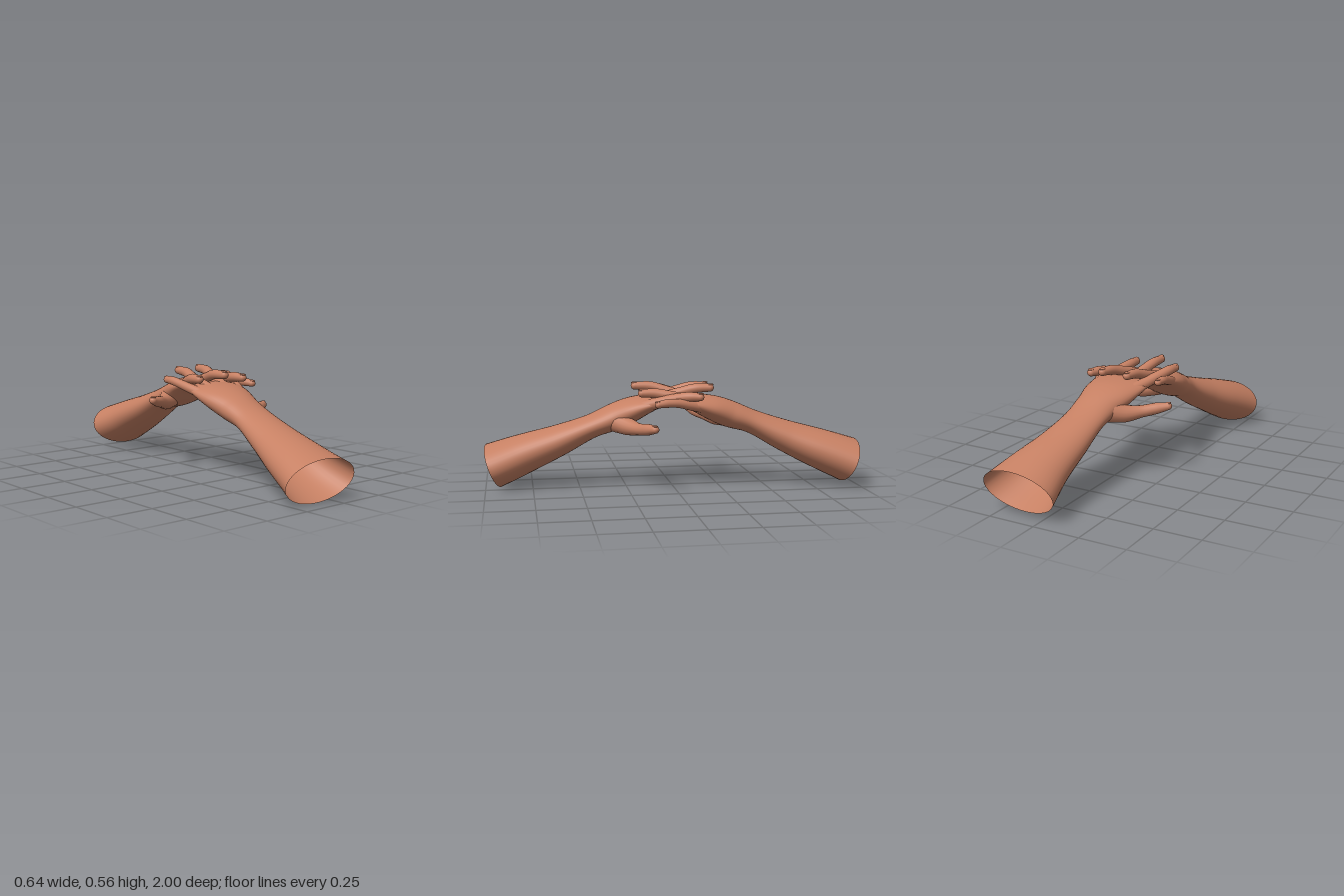
import * as THREE from 'three';

const skin = new THREE.MeshStandardMaterial({ color: 0xc68063, side: THREE.DoubleSide });
skin.name = 'skin';

// Frame across a path: sideways, upward and forward directions
function frameAt(curve, t) {
  const forward = curve.getTangent(t);
  const side = new THREE.Vector3().crossVectors(forward, new THREE.Vector3(0, 1, 0)).normalize();
  const up = new THREE.Vector3().crossVectors(side, forward);
  return { pos: curve.getPoint(t), side, up, forward };
}

// Smooth skin through sections [x, y, z, halfWidth, halfThickness]; open start, rounded end
function loft(name, sections, steps, sides) {
  const curve = new THREE.CatmullRomCurve3(sections.map(s => new THREE.Vector3(s[0], s[1], s[2])));
  const sizes = new THREE.CatmullRomCurve3(sections.map(s => new THREE.Vector3(s[3], s[4], 0)));
  const positions = [], indices = [];
  let rings = 0;
  const addRing = (f, w, h) => {
    for (let j = 0; j < sides; j++) {
      const a = (j / sides) * Math.PI * 2;
      const p = f.pos.clone().addScaledVector(f.side, Math.cos(a) * w).addScaledVector(f.up, Math.sin(a) * h);
      positions.push(p.x, p.y, p.z);
    }
    rings++;
  };
  for (let i = 0; i <= steps; i++) {
    const size = sizes.getPoint(i / steps);
    addRing(frameAt(curve, i / steps), size.x, size.y);
  }
  // rounded cap
  const end = frameAt(curve, 1), [, , , w, h] = sections[sections.length - 1];
  for (let k = 1; k <= 6; k++) {
    const a = (k / 6) * Math.PI / 2, c = Math.max(Math.cos(a), 0.01);
    const pos = end.pos.clone().addScaledVector(end.forward, Math.sin(a) * h);
    addRing({ ...end, pos }, w * c, h * c);
  }
  for (let i = 0; i < rings - 1; i++) {
    for (let j = 0; j < sides; j++) {
      const a = i * sides + j, b = i * sides + (j + 1) % sides;
      indices.push(a, a + sides, b, b, a + sides, b + sides);
    }
  }
  const geometry = new THREE.BufferGeometry();
  geometry.setAttribute('position', new THREE.Float32BufferAttribute(positions, 3));
  geometry.setIndex(indices);
  geometry.computeVertexNormals();
  const mesh = new THREE.Mesh(geometry, skin);
  mesh.name = name;
  return { mesh, end, radius: h };
}

// Finger with a nail lying on its tip
function finger(name, sections) {
  const group = new THREE.Group();
  group.name = name;
  const { mesh, end, radius } = loft(name + 'Skin', sections, 24, 16);
  const nail = new THREE.Mesh(new THREE.SphereGeometry(1, 14, 10), skin);
  nail.name = name + 'Nail';
  nail.quaternion.setFromRotationMatrix(
    new THREE.Matrix4().makeBasis(end.side, end.up, end.forward.clone().negate()));
  nail.scale.set(radius * 0.68, radius * 0.3, radius * 0.95);
  nail.position.copy(end.pos).addScaledVector(end.up, radius * 0.8);
  group.add(mesh, nail);
  return group;
}

// Attach tapering radii to a list of path points
const taper = (points, radii) => points.map((p, i) => [...p, radii[i], radii[i] * 0.95]);

function arm(name, sections, fingers, thumb) {
  const group = new THREE.Group();
  group.name = name;
  group.add(loft('forearmAndPalm', sections, 56, 40).mesh);
  for (const [part, points] of Object.entries(fingers)) {
    const thin = part === 'littleFinger' ? 0.87 : 1;
    group.add(finger(part, taper(points, [0.034, 0.031, 0.028, 0.027, 0.022].map(r => r * thin))));
  }
  group.add(finger('thumb', taper(thumb, [0.06, 0.048, 0.033, 0.031, 0.021])));
  return group;
}

export function createModel() {
  const model = new THREE.Group();
  model.name = 'claspedHands';

  // forearm, wrist and palm from the open end to the knuckles
  const front = [
    [-0.115, 0.118, 0.955, 0.205, 0.122],
    [-0.098, 0.178, 0.8, 0.168, 0.108],
    [-0.066, 0.252, 0.61, 0.134, 0.085],
    [-0.04, 0.335, 0.42, 0.114, 0.064],
    [-0.036, 0.378, 0.31, 0.122, 0.072],
    [-0.03, 0.42, 0.21, 0.148, 0.066],
    [-0.022, 0.452, 0.12, 0.16, 0.047],
    [-0.018, 0.466, 0.065, 0.158, 0.034]
  ];
  // opposite arm: half turn, slightly higher, hand moved a little sideways
  const back = front.map(([x, y, z, w, h]) =>
    [-x + 0.03 * Math.min(1, (0.955 - z) / 0.55), y + 0.02 * Math.min(1, z / 0.4), -z, w, h]);

  model.add(arm('frontArm', front, {
    littleFinger: [[-0.13, 0.44, 0.16], [-0.158, 0.468, 0.07], [-0.172, 0.488, 0], [-0.182, 0.503, -0.06], [-0.183, 0.505, -0.11]],
    ringFinger: [[-0.07, 0.448, 0.17], [-0.08, 0.485, 0.06], [-0.068, 0.512, -0.03], [-0.05, 0.535, -0.11], [-0.042, 0.54, -0.188]],
    middleFinger: [[0.012, 0.448, 0.17], [0.038, 0.487, 0.06], [0.062, 0.515, -0.03], [0.09, 0.538, -0.11], [0.104, 0.542, -0.19]],
    indexFinger: [[0.08, 0.44, 0.18], [0.13, 0.475, 0.07], [0.167, 0.495, 0], [0.2, 0.506, -0.06], [0.22, 0.506, -0.115]]
  }, [[0.03, 0.36, 0.3], [0.1, 0.342, 0.245], [0.175, 0.338, 0.2], [0.24, 0.345, 0.16], [0.295, 0.352, 0.133]]));

  model.add(arm('backArm', back, {
    indexFinger: [[-0.04, 0.448, -0.18], [-0.088, 0.48, -0.07], [-0.125, 0.505, 0], [-0.152, 0.523, 0.07], [-0.16, 0.524, 0.133]],
    middleFinger: [[0.025, 0.45, -0.17], [0.003, 0.488, -0.06], [-0.02, 0.518, 0.03], [-0.038, 0.541, 0.11], [-0.042, 0.544, 0.195]],
    ringFinger: [[0.115, 0.448, -0.17], [0.13, 0.484, -0.06], [0.118, 0.505, 0.03], [0.104, 0.518, 0.11], [0.104, 0.518, 0.175]],
    littleFinger: [[0.16, 0.435, -0.17], [0.195, 0.46, -0.07], [0.214, 0.475, 0], [0.225, 0.477, 0.06], [0.236, 0.472, 0.108]]
  }, [[-0.005, 0.375, -0.31], [-0.075, 0.362, -0.26], [-0.145, 0.37, -0.205], [-0.205, 0.383, -0.163], [-0.258, 0.395, -0.137]]));

  return model;
}
